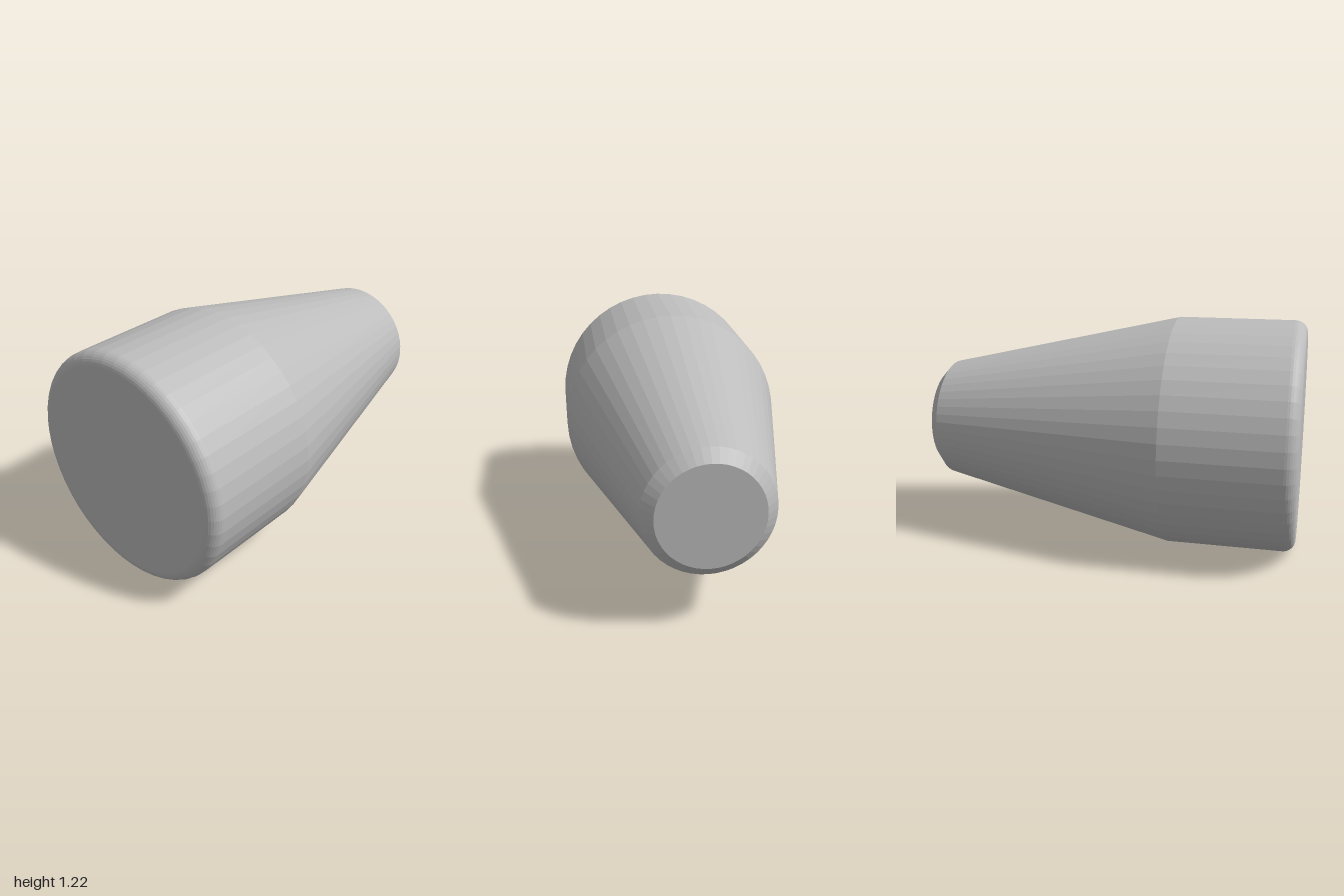
import * as THREE from 'three';

const SIDES = 48;
const RADIUS = 0.61;

export function createModel() {
  const model = new THREE.Group();
  model.name = 'taperedPlug';
  const grey = new THREE.MeshStandardMaterial({ color: 0xbcbcbc, flatShading: true });
  grey.name = 'plain grey';

  // Turns a [radius, z] profile, running from back to front, about the z axis
  function turned(name, profile) {
    const points = profile.map(([r, z]) => new THREE.Vector2(r, z));
    const geometry = new THREE.LatheGeometry(points, SIDES).rotateX(Math.PI / 2);
    const mesh = new THREE.Mesh(geometry, grey);
    mesh.name = name;
    mesh.position.y = RADIUS + 0.002;
    model.add(mesh);
  }

  // Chamfered tip with its flat end
  turned('chamferedTip', [[0, -1], [0.262, -1], [0.322, -0.945]]);

  // Long taper
  turned('taper', [[0.322, -0.945], [RADIUS, 0.33]]);

  // Straight barrel, rounded front edge and flat front face
  const fillet = 0.065;
  const barrel = [[RADIUS, 0.33]];
  for (let i = 0; i <= 8; i++) {
    const a = (i / 8) * Math.PI / 2;
    barrel.push([RADIUS - fillet + fillet * Math.cos(a), 1 - fillet + fillet * Math.sin(a)]);
  }
  barrel.push([0, 1]);
  turned('barrel', barrel);

  return model;
}
